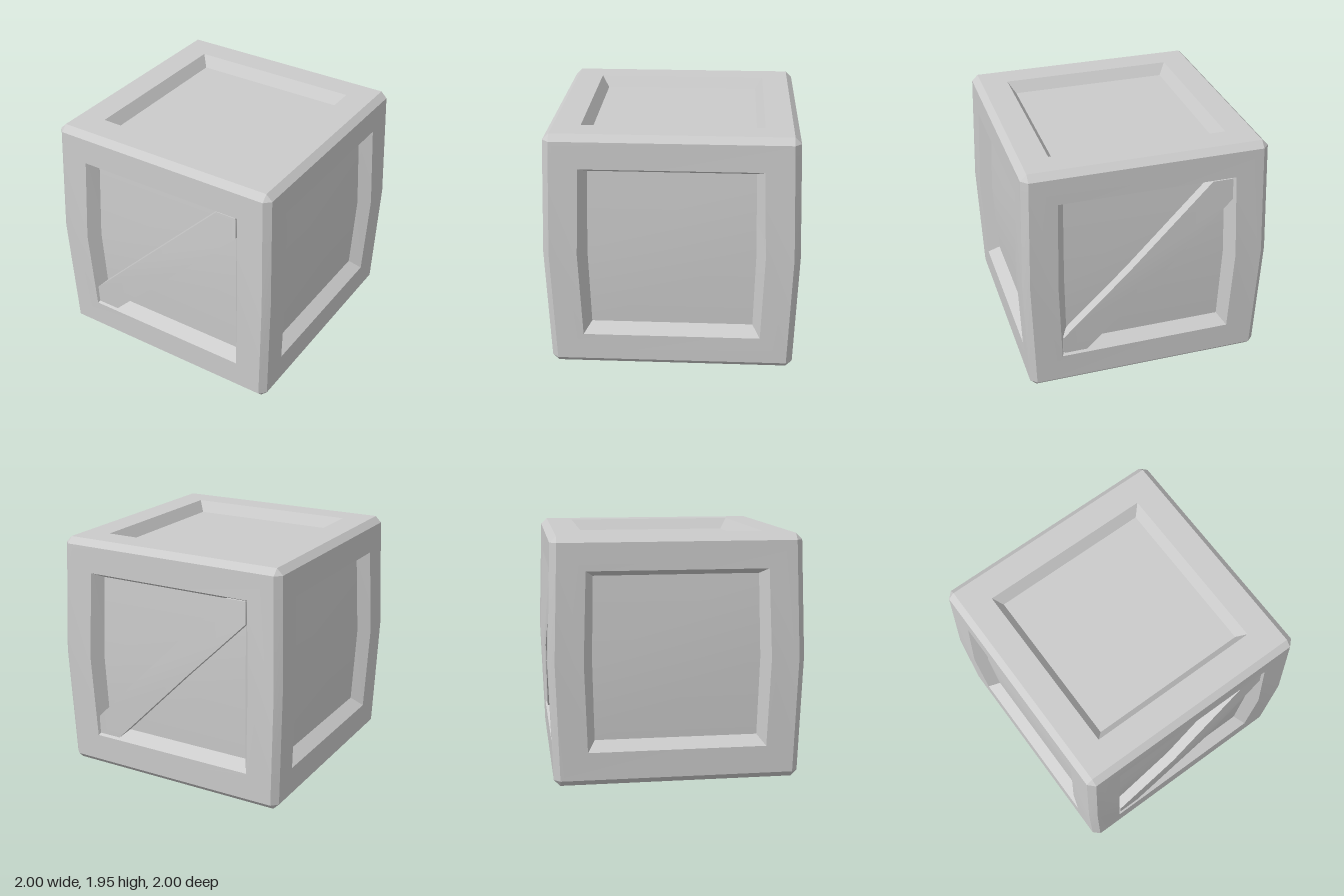
import * as THREE from 'three';
import { toCreasedNormals, mergeGeometries } from 'three/addons/utils/BufferGeometryUtils.js';

const MID = 0.98; // height of the bulge
const material = () => new THREE.MeshStandardMaterial({ color: 0xcccccc });

// Collects polygons (corners counter-clockwise from outside) into one geometry
function builder() {
  const pos = [];
  const face = (...p) => {
    for (let i = 1; i < p.length - 1; i++) pos.push(...p[0], ...p[i], ...p[i + 1]);
  };
  const strip = (a, b) => a.forEach((p, i) => {
    const j = (i + 1) % a.length;
    face(p, a[j], b[j], b[i]);
  });
  const mesh = (name) => {
    const g = new THREE.BufferGeometry();
    g.setAttribute('position', new THREE.Float32BufferAttribute(pos, 3));
    const m = new THREE.Mesh(toCreasedNormals(g, 0.5), material());
    m.name = name;
    return m;
  };
  return { face, strip, mesh };
}

// Six-point loop on a side, wider and further out at mid height
const sideLoop = (u, um, y0, y1, d, dm) => [
  [-u, y0, d], [u, y0, d], [um, MID, dm], [u, y1, d], [-u, y1, d], [-um, MID, dm],
];
const square = (a, y) => [[-a, y, a], [a, y, a], [a, y, -a], [-a, y, -a]];
// Quarter turns about the vertical axis
const turn = (p, k) => {
  let [x, y, z] = p;
  for (let i = 0; i < k % 4; i++) [x, z] = [z, -x];
  return [x, y, z];
};

const OUTER = sideLoop(0.92, 0.95, 0.05, 1.895, 0.97, 1.0);
const OPENING = sideLoop(0.705, 0.73, 0.27, 1.68, 0.97, 1.0);
const FLOOR = sideLoop(0.645, 0.66, 0.345, 1.635, 0.875, 0.905);
const TOP = square(0.92, 1.945);
const BOTTOM = square(0.92, 0);

function frame() {
  const b = builder();
  for (let k = 0; k < 4; k++) {
    const r = (loop) => loop.map((p) => turn(p, k));
    const o = r(OUTER), next = OUTER.map((p) => turn(p, k + 1));
    const t = r(TOP), bt = r(BOTTOM);
    // framed face and sloping recess walls
    b.strip(o, r(OPENING));
    b.strip(r(OPENING), r(FLOOR));
    // chamfers: vertical post, top edge, bottom edge, corners
    b.face(o[1], next[0], next[5], o[2]);
    b.face(o[2], next[5], next[4], o[3]);
    b.face(o[4], o[3], t[1], t[0]);
    b.face(bt[0], bt[1], o[1], o[0]);
    b.face(o[3], next[4], t[1]);
    b.face(o[1], bt[1], next[0]);
  }
  // lid rim with its recess walls, and plain underside
  b.strip(TOP, square(0.705, 1.945));
  b.strip(square(0.705, 1.945), square(0.645, 1.855));
  b.face(...[...BOTTOM].reverse());
  return b.mesh('frame');
}

function panels() {
  const group = new THREE.Group();
  group.name = 'panels';
  for (let k = 0; k < 4; k++) {
    const b = builder(), f = FLOOR.map((p) => turn(p, k));
    b.face(f[0], f[1], f[2], f[5]);
    b.face(f[5], f[2], f[3], f[4]);
    group.add(b.mesh(['frontPanel', 'leftPanel', 'backPanel', 'rightPanel'][k]));
  }
  const lid = builder();
  lid.face(...square(0.645, 1.855));
  group.add(lid.mesh('topPanel'));
  return group;
}

// Diagonal plank in two halves that follow the bulge
function brace(name, angle) {
  const lower = [[-0.69, 0.445], [-0.69, 0.3], [-0.68, 0.29], [-0.5, 0.29], [0.18, MID], [-0.165, MID]];
  const upper = [[-0.165, MID], [0.18, MID], [0.69, 1.49], [0.685, 1.655], [0.68, 1.665], [0.52, 1.665]];
  const halves = [lower, upper].map((pts) => {
    const g = new THREE.ExtrudeGeometry(
      new THREE.Shape(pts.map((p) => new THREE.Vector2(...p))), { depth: 0.1, bevelEnabled: false });
    const p = g.attributes.position;
    for (let i = 0; i < p.count; i++) {
      p.setZ(i, p.getZ(i) + 0.857 + 0.03 * (1 - Math.abs(p.getY(i) - MID) / 0.7));
    }
    return g;
  });
  const mesh = new THREE.Mesh(toCreasedNormals(mergeGeometries(halves), 0.5), material());
  mesh.rotation.y = angle;
  mesh.name = name;
  return mesh;
}

export function createModel() {
  const crate = new THREE.Group();
  crate.name = 'crate';
  crate.add(frame(), panels(), brace('frontBrace', 0), brace('backBrace', Math.PI));
  return crate;
}
